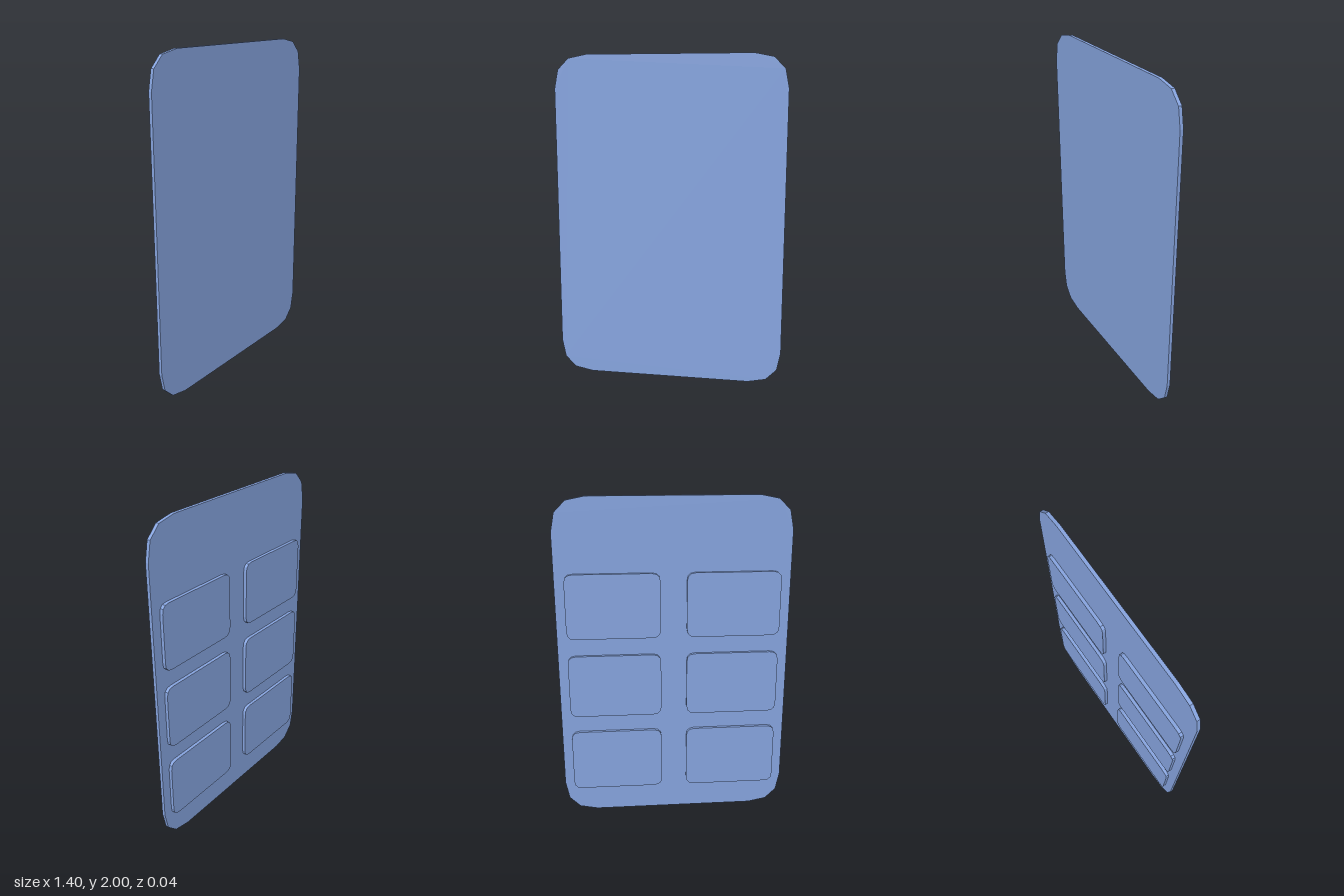
import * as THREE from 'three';

const material = new THREE.MeshStandardMaterial({ color: 0x87a5e0, flatShading: true });

// Flat slab with rounded corners, centred in x and y, its back face on z = 0
function roundedSlab(name, width, height, radius, depth) {
  const x = width / 2, y = height / 2, r = radius;
  const shape = new THREE.Shape();
  shape.moveTo(-x + r, -y);
  shape.lineTo(x - r, -y);
  shape.quadraticCurveTo(x, -y, x, -y + r);
  shape.lineTo(x, y - r);
  shape.quadraticCurveTo(x, y, x - r, y);
  shape.lineTo(-x + r, y);
  shape.quadraticCurveTo(-x, y, -x, y - r);
  shape.lineTo(-x, -y + r);
  shape.quadraticCurveTo(-x, -y, -x + r, -y);
  const geometry = new THREE.ExtrudeGeometry(shape, { depth, bevelEnabled: false, curveSegments: 3 });
  const mesh = new THREE.Mesh(geometry, material);
  mesh.name = name;
  return mesh;
}

export function createModel() {
  const model = new THREE.Group();
  model.name = 'panel';

  // Main plate
  const plate = roundedSlab('plate', 1.4, 2, 0.2, 0.02);
  plate.position.set(0, 1, 0);
  model.add(plate);

  // Raised pads on the back: two columns, three rows
  for (let row = 0; row < 3; row++) {
    for (const side of [-1, 1]) {
      const pad = roundedSlab(`${side > 0 ? 'left' : 'right'}Pad${row + 1}`, 0.563, 0.393, 0.05, 0.02);
      pad.position.set(side * 0.36, 0.3625 + row * 0.5, -0.02);
      model.add(pad);
    }
  }
  return model;
}
